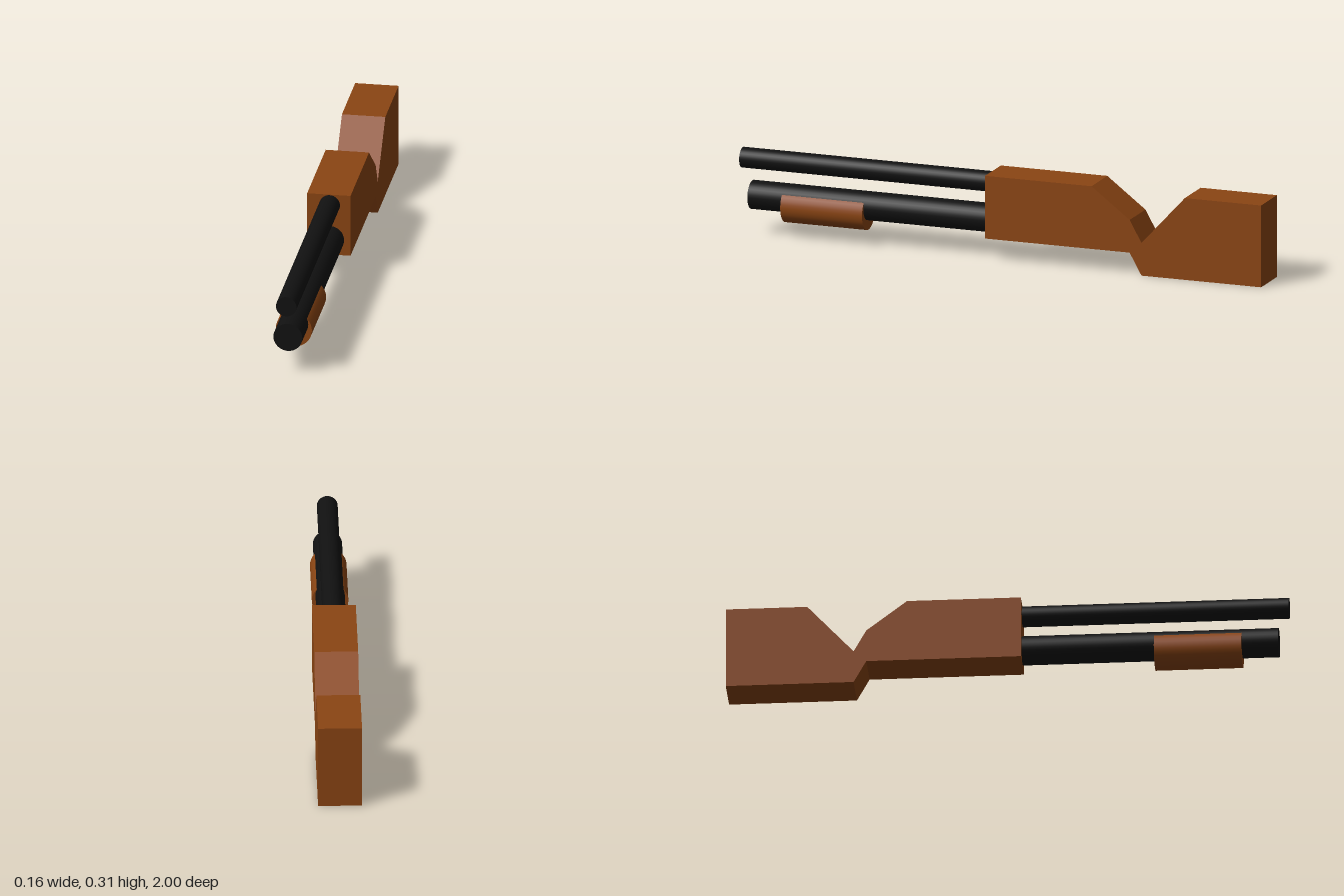
import * as THREE from 'three';

export function createModel() {
  const group = new THREE.Group();
  const wood = new THREE.MeshStandardMaterial({ color: 0x8b4513 });
  const metal = new THREE.MeshStandardMaterial({ color: 0x111111 });

  // Receiver, wrist and butt: one side profile (z, y) extruded across x
  const width = 0.156;
  const profile = [
    [0.05, 0.08], [0.05, 0.31], [-0.355, 0.31], [-0.5, 0.2], [-0.545, 0.12],
    [-0.71, 0.3], [-1, 0.3], [-1, 0], [-0.545, 0], [-0.5, 0.08],
  ].map(([z, y]) => new THREE.Vector2(z, y));
  const stockGeometry = new THREE.ExtrudeGeometry(new THREE.Shape(profile), {
    depth: width,
    bevelEnabled: false,
  });
  stockGeometry.translate(0, 0, -width / 2).rotateY(-Math.PI / 2);
  const stock = new THREE.Mesh(stockGeometry, wood);
  stock.name = 'stock';
  group.add(stock);

  // Round parts lying along z
  function addRod(name, material, radius, y, zBack, zFront) {
    const geometry = new THREE.CylinderGeometry(radius, radius, zFront - zBack, 32);
    geometry.rotateX(Math.PI / 2);
    const rod = new THREE.Mesh(geometry, material);
    rod.name = name;
    rod.position.set(0.003, y, (zBack + zFront) / 2);
    group.add(rod);
  }
  addRod('barrel', metal, 0.037, 0.271, 0.04, 1);
  addRod('magazineTube', metal, 0.052, 0.138, 0.04, 0.963);
  addRod('slideGrip', wood, 0.065, 0.115, 0.522, 0.833);

  return group;
}
